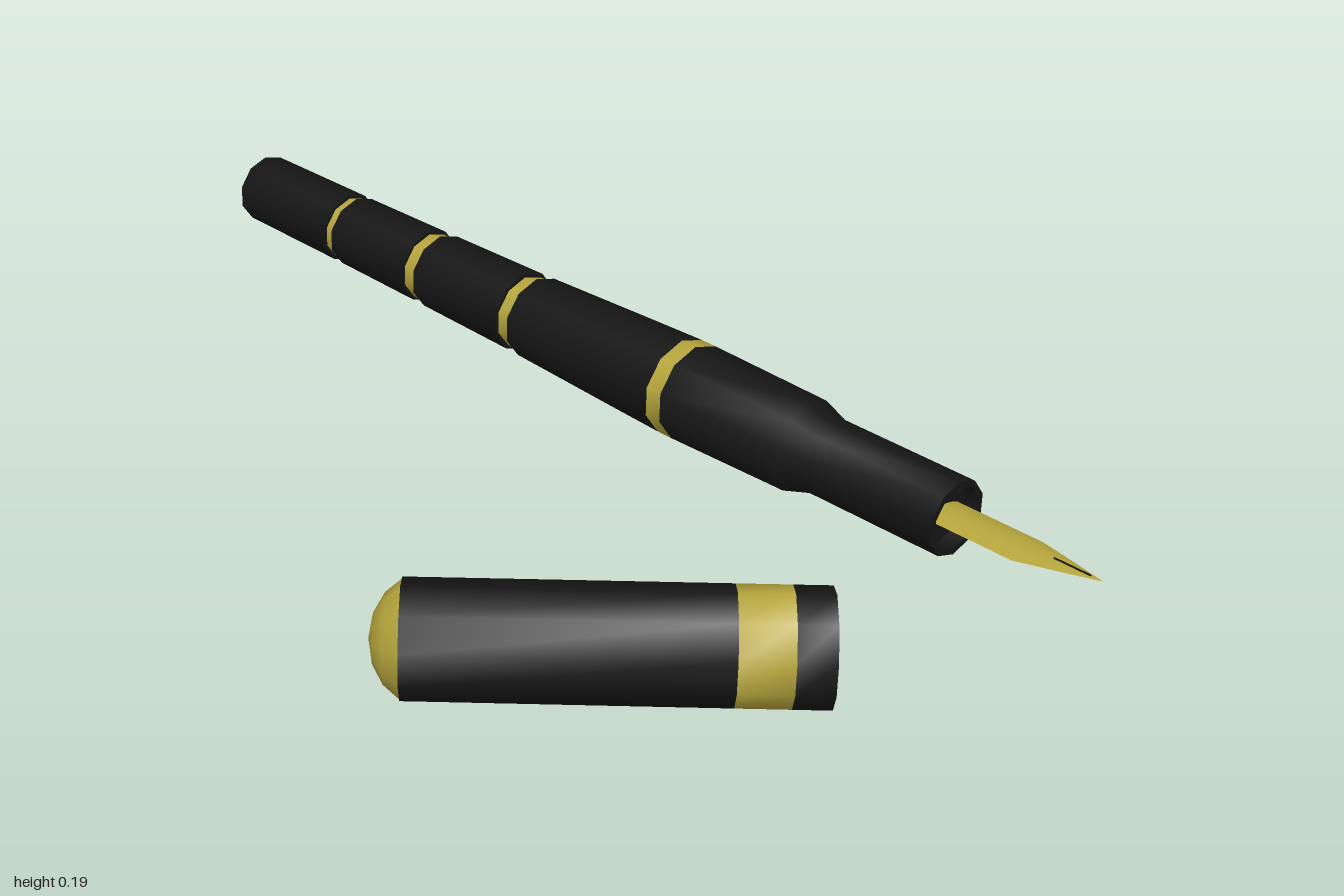
import * as THREE from 'three';
import { toCreasedNormals } from 'three/addons/utils/BufferGeometryUtils.js';

const black = new THREE.MeshStandardMaterial({ color: 0x151515 });
const gold = new THREE.MeshStandardMaterial({ color: 0xb5a53c });
const goldSheet = new THREE.MeshStandardMaterial({ color: 0xb5a53c, side: THREE.DoubleSide });
const grey = new THREE.MeshStandardMaterial({ color: 0x999999 });

function add(parent, name, geometry, material) {
  const mesh = new THREE.Mesh(geometry, material);
  mesh.name = name;
  parent.add(mesh);
  return mesh;
}

// Ten-sided turned part along +x, profile given as [x, radius]
function turned(parent, name, profile, material) {
  const points = profile.map(([x, r]) => new THREE.Vector2(r, x));
  const lathe = new THREE.LatheGeometry(points, 10, Math.PI / 2);
  lathe.rotateZ(-Math.PI / 2);
  return add(parent, name, toCreasedNormals(lathe, 0.7), material);
}

// Solid turned part, closed at both ends
function solid(parent, name, profile, material) {
  const first = profile[0][0], last = profile[profile.length - 1][0];
  return turned(parent, name, [[first, 0], ...profile, [last, 0]], material);
}

// Flat profile in (x, z) given a width in y, centred on y = 0
function slab(parent, name, outline, width, material) {
  const shape = new THREE.Shape(outline.map(([x, z]) => new THREE.Vector2(x, z)));
  const g = new THREE.ExtrudeGeometry(shape, { depth: width, bevelEnabled: false });
  g.translate(0, 0, -width / 2);
  g.rotateX(Math.PI / 2);
  return add(parent, name, g, material);
}

// Thin arched sheet lofted through stations [x, half width, sag]
function nibGeometry() {
  const stations = [[0.69, 0.04, 0.01], [0.86, 0.04, 0.01], [0.93, 0.021, 0.005], [1, 0.001, 0]];
  const across = 6, positions = [], index = [];
  stations.forEach(([x, half, sag], i) => {
    for (let j = 0; j <= across; j++) {
      const t = (j / across) * 2 - 1;
      positions.push(x, 0.012 - sag * t * t, t * half);
      if (i && j) {
        const d = i * (across + 1) + j, c = d - 1, b = d - across - 1, a = b - 1;
        index.push(a, c, b, b, c, d);
      }
    }
  });
  const g = new THREE.BufferGeometry();
  g.setAttribute('position', new THREE.Float32BufferAttribute(positions, 3));
  g.setIndex(index);
  g.computeVertexNormals();
  return g;
}

function createPen() {
  const pen = new THREE.Group();
  pen.name = 'pen';

  // Barrel pieces separated by gold rings
  const pieces = [
    [[-1, 0.065], [-0.75, 0.067]],
    [[-0.73, 0.067], [-0.525, 0.07]],
    [[-0.495, 0.071], [-0.27, 0.075]],
    [[-0.24, 0.076], [0, 0.084], [0.115, 0.0875]],
  ];
  pieces.forEach((p, i) => solid(pen, `barrelSection${i + 1}`, p, black));
  const rings = [[-0.75, -0.73, 0.061], [-0.525, -0.495, 0.064], [-0.27, -0.24, 0.068], [0.115, 0.147, 0.0875]];
  rings.forEach(([a, b, r], i) => solid(pen, `barrelRing${i + 1}`, [[a, r], [b, r]], gold));

  // Front barrel stepping down to the grip, with a shallow socket for the nib
  turned(pen, 'grip', [[0.147, 0], [0.147, 0.0875], [0.4, 0.083], [0.45, 0.067],
    [0.72, 0.067], [0.72, 0.056], [0.69, 0.056], [0.69, 0]], black);

  // Nib with its slit
  add(pen, 'nib', nibGeometry(), goldSheet);
  add(pen, 'nibSlit', new THREE.BoxGeometry(0.07, 0.002, 0.003), black).position.set(0.945, 0.0125, 0);
  return pen;
}

function createCap() {
  const cap = new THREE.Group();
  cap.name = 'cap';
  const R = 0.0925, inner = 0.084;

  // Hollow tube from the mouth at x = 0 to the closed end
  turned(cap, 'capLining', [[0.6, 0], [0.6, inner], [0, inner]], black);
  turned(cap, 'capRim', [[0, inner], [0, R]], grey);
  turned(cap, 'capLip', [[0, R], [0.06, R]], black);
  turned(cap, 'capBand', [[0.06, R], [0.145, R]], gold);
  turned(cap, 'capBody', [[0.145, R], [0.64, R], [0.64, 0]], black);
  solid(cap, 'capDome', [[0.64, 0.09], [0.665, 0.069], [0.682, 0.038], [0.688, 0.001]], gold);

  // Pocket clip and its root
  slab(cap, 'clip', [[0.62, 0.112], [0.61, 0.126], [0.56, 0.124], [0.2, 0.128],
    [0.18, 0.122], [0.2, 0.116], [0.56, 0.111]], 0.028, gold);
  slab(cap, 'clipRoot', [[0.59, 0.075], [0.645, 0.075], [0.64, 0.1], [0.622, 0.122],
    [0.6, 0.127], [0.575, 0.122], [0.58, 0.108]], 0.045, gold);
  return cap;
}

export function createModel() {
  const model = new THREE.Group();
  model.name = 'penWithCap';
  const pen = createPen();
  pen.position.set(0, 0.09, -0.44);
  const cap = createCap();
  cap.position.set(0.84, 0.1, 0);
  cap.rotation.y = -Math.PI * 0.75;
  model.add(pen, cap);
  return model;
}
